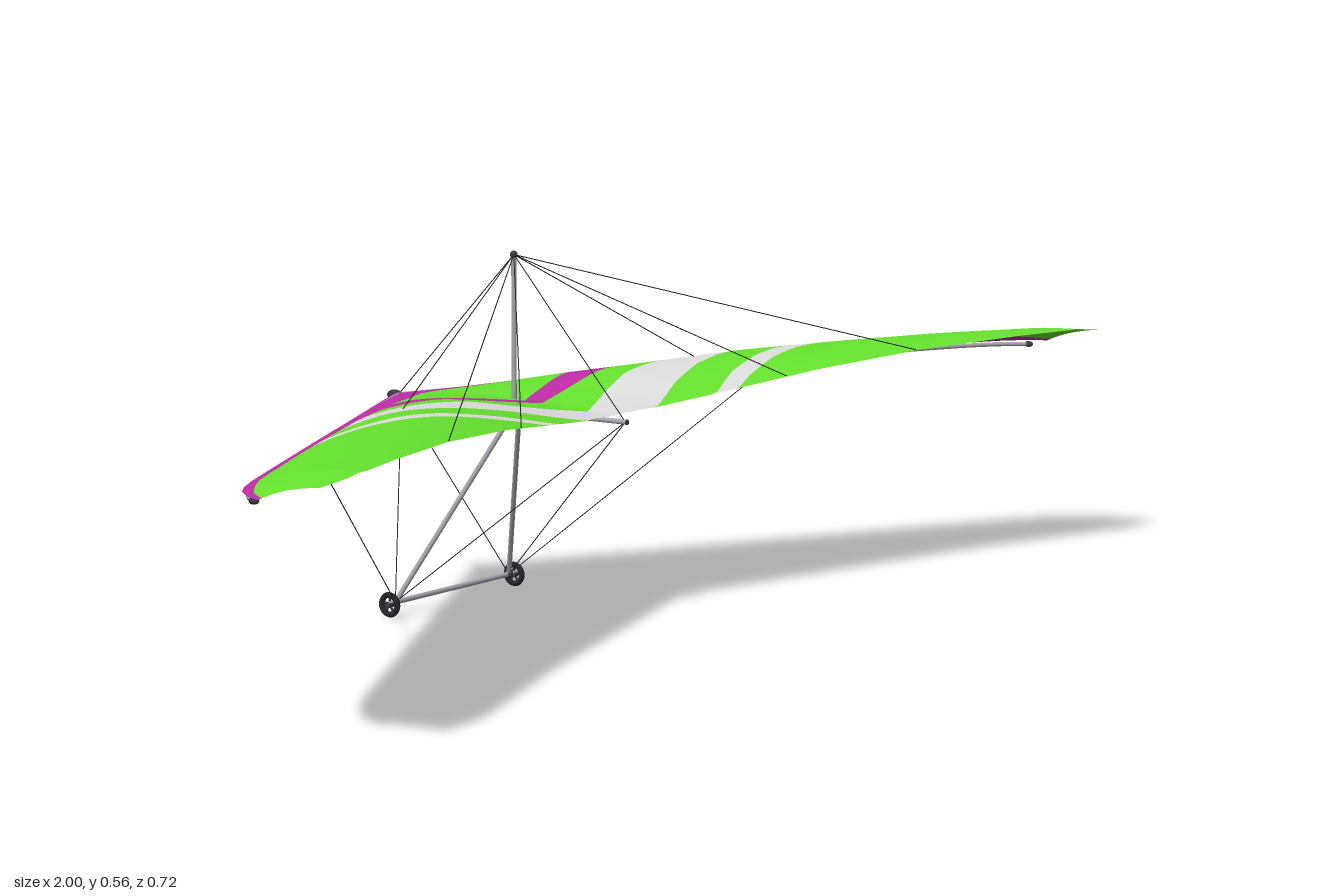
import * as THREE from 'three';

const V = (x, y, z) => new THREE.Vector3(x, y, z);

// piecewise linear curve through [x, value] pairs
const curve = (pts) => (x) => {
  if (x <= pts[0][0]) return pts[0][1];
  for (let i = 1; i < pts.length; i++) {
    const [x0, v0] = pts[i - 1], [x1, v1] = pts[i];
    if (x <= x1) return v0 + (v1 - v0) * (x - x0) / (x1 - x0);
  }
  return pts[pts.length - 1][1];
};

// sail outline, trailing edge height and camber along the half span
const lead = curve([[0, -0.347], [0.88, 0.137], [0.93, 0.168], [0.96, 0.192], [0.985, 0.222], [1, 0.255]]);
const trail = curve([[0, 0.075], [0.05, 0.083], [0.3, 0.156], [0.61, 0.247], [0.9, 0.35], [0.95, 0.359], [1, 0.358]]);
const trailY = curve([[0, 0.32], [0.1, 0.326], [0.2, 0.336], [0.4, 0.357], [0.6, 0.371], [0.8, 0.379], [0.92, 0.381], [1, 0.373]]);
const camber = curve([[0, 0.011], [0.1, 0.018], [0.2, 0.025], [0.45, 0.028], [0.75, 0.02], [0.93, 0.012], [1, 0.005]]);
const leadY = (x) => 0.319 + 0.028 * x;

function sailY(sx, z) {
  const x = Math.min(Math.abs(sx), 1);
  const t = THREE.MathUtils.clamp((z - lead(x)) / (trail(x) - lead(x)), 0, 1);
  return THREE.MathUtils.lerp(leadY(x), trailY(x), t) + camber(x) * Math.sin(Math.PI * Math.pow(t, 0.85));
}

// colour boundaries across the chord
const bandWidth = curve([[0, 0.058], [0.3, 0.058], [0.6, 0.05], [0.85, 0.038], [0.96, 0.022], [1, 0.006]]);
const stripes = [
  (x) => Math.max(-0.283, lead(x) + bandWidth(x)),
  (x) => -0.09 - 0.33 * x,
  (x) => -0.057 - 0.2 * x,
  curve([[0, 0.03], [0.1, -0.012], [0.2, -0.045], [0.3, -0.062], [0.4, -0.07]]),
  curve([[0, 0.12], [0.1, 0.09], [0.2, 0.05], [0.3, 0.02], [0.4, 0.003], [0.55, 0]]),
  curve([[0, 0.2], [0.2, 0.127], [0.3, 0.088], [0.4, 0.066], [0.5, 0.056], [0.7, 0.055]]),
  curve([[0, 0.25], [0.2, 0.155], [0.3, 0.12], [0.4, 0.097], [0.5, 0.084], [0.75, 0.078]]),
];

function sailBand(k, columns, rows) {
  const edge = (x, n) => {
    let z = lead(x);
    for (let i = 0; i < n; i++) z = Math.max(z, i < 7 ? stripes[i](x) : trail(x));
    return Math.min(z, trail(x));
  };
  const pos = [], nor = [], idx = [], e = 0.004;
  for (let i = 0; i <= columns; i++) {
    const u = i / columns * 2 - 1, sx = Math.sin(u * Math.PI / 2) * 0.5 + u * 0.5, x = Math.abs(sx);
    const z0 = edge(x, k), z1 = edge(x, k + 1);
    for (let j = 0; j <= rows; j++) {
      const z = z0 + (z1 - z0) * j / rows;
      const zn = THREE.MathUtils.clamp(z, lead(x) + 0.008, trail(x) - 0.004);
      const n = V((sailY(sx - e, zn) - sailY(sx + e, zn)) / (2 * e), 1,
        (sailY(sx, zn - e) - sailY(sx, zn + e)) / (2 * e)).normalize();
      pos.push(sx, sailY(sx, z), z);
      nor.push(n.x, n.y, n.z);
      if (i < columns && j < rows) {
        const a = i * (rows + 1) + j, b = a + rows + 1;
        idx.push(a, a + 1, b, a + 1, b + 1, b);
      }
    }
  }
  const g = new THREE.BufferGeometry();
  g.setAttribute('position', new THREE.Float32BufferAttribute(pos, 3));
  g.setAttribute('normal', new THREE.Float32BufferAttribute(nor, 3));
  g.setIndex(idx);
  return g;
}

export function createModel() {
  const model = new THREE.Group();
  model.name = 'hangGlider';
  const mat = (name, color, side = THREE.FrontSide) => {
    const m = new THREE.MeshStandardMaterial({ color, side });
    m.name = name;
    return m;
  };
  const green = mat('greenCloth', 0x66e32e, THREE.DoubleSide);
  const magenta = mat('magentaCloth', 0xc02ca8, THREE.DoubleSide);
  const white = mat('whiteCloth', 0xdedede, THREE.DoubleSide);
  const metal = mat('aluminium', 0xa6a6ae);
  const dark = mat('darkFitting', 0x3a3a42);
  const black = mat('blackCable', 0x26262a);

  const add = (name, geometry, material, parent = model) => {
    const m = new THREE.Mesh(geometry, material);
    m.name = name;
    parent.add(m);
    return m;
  };
  // straight round bar between two points
  const rod = (name, a, b, r, material, sides = 10, parent = model) => {
    const m = add(name, new THREE.CylinderGeometry(r, r, a.distanceTo(b), sides), material, parent);
    m.position.copy(a).lerp(b, 0.5);
    m.quaternion.setFromUnitVectors(V(0, 1, 0), b.clone().sub(a).normalize());
    return m;
  };
  const ball = (name, p, rx, ry, rz, material) => {
    const m = add(name, new THREE.SphereGeometry(1, 14, 10), material);
    m.position.copy(p);
    m.scale.set(rx, ry, rz);
  };

  // sail, one mesh per colour stripe
  [magenta, green, magenta, green, white, green, white, green].forEach((m, k) =>
    add('sailStripe' + (k + 1), sailBand(k, 160, 8), m));

  // keel, nose cap, king post and hang loop
  const postTop = V(0, 0.552, -0.11), nose = V(0, 0.317, -0.34), tail = V(0, 0.313, 0.1);
  rod('keel', V(0, 0.313, 0.103), V(0, 0.313, -0.345), 0.004, metal);
  ball('keelEndCap', V(0, 0.313, 0.103), 0.0042, 0.0042, 0.003, dark);
  ball('noseCap', V(0, 0.317, -0.347), 0.01, 0.008, 0.013, dark);
  rod('kingPost', V(0, 0.313, -0.11), postTop, 0.004, metal);
  ball('kingPostCap', postTop, 0.006, 0.006, 0.006, dark);
  add('keelBracket', new THREE.BoxGeometry(0.022, 0.011, 0.018), metal).position.set(0, 0.313, -0.11);
  rod('hangStrap', V(0, 0.319, -0.09), V(0, 0.302, -0.09), 0.005, dark);
  const clip = add('hangClip', new THREE.TorusGeometry(0.005, 0.0018, 6, 16), dark);
  clip.position.set(0, 0.297, -0.09);
  clip.rotation.y = Math.PI / 2;
  clip.scale.y = 1.5;

  // control bar
  rod('baseBar', V(-0.16, 0.022, -0.231), V(0.16, 0.022, -0.231), 0.004, metal);

  for (const s of [1, -1]) {
    const side = s > 0 ? 'left' : 'right';
    const joint = V(s * 0.58, 0.334, -0.018), corner = V(s * 0.142, 0.022, -0.231);

    // frame tubes under the sail
    const path = new THREE.CatmullRomCurve3([V(0, 0.318, -0.338), V(s * 0.45, 0.331, -0.09),
      V(s * 0.88, 0.341, 0.148), V(s * 0.955, 0.341, 0.198), V(s * 0.98, 0.341, 0.23)]);
    add(side + 'LeadingEdgeTube', new THREE.TubeGeometry(path, 40, 0.0036, 8), metal);
    ball(side + 'TubeCap', V(s * 0.98, 0.341, 0.23), 0.0055, 0.005, 0.008, dark);
    rod(side + 'CrossBar', V(0, 0.322, -0.085), joint, 0.0033, metal);

    // down tube and wheel
    rod(side + 'DownTube', V(s * 0.012, 0.302, -0.11), corner, 0.004, metal);
    ball(side + 'DownTubeCap', V(s * 0.012, 0.302, -0.11), 0.0046, 0.0046, 0.0046, dark);
    ball(side + 'CornerFitting', corner, 0.007, 0.007, 0.007, dark);
    const wheel = new THREE.Group();
    wheel.name = side + 'Wheel';
    wheel.position.set(s * 0.156, 0.02, -0.231);
    wheel.rotation.y = Math.PI / 2;
    model.add(wheel);
    add('tyre', new THREE.TorusGeometry(0.0152, 0.0046, 8, 28), black, wheel);
    rod('hub', V(0, 0, -0.006), V(0, 0, 0.006), 0.005, dark, 12, wheel);
    for (let i = 0; i < 5; i++) {
      const a = i / 5 * Math.PI * 2 + Math.PI / 2;
      rod('spoke', V(0, 0, 0), V(Math.cos(a) * 0.014, Math.sin(a) * 0.014, 0), 0.002, dark, 6, wheel);
    }

    // lower rigging
    for (const p of [joint, tail, V(0, 0.313, -0.333)])
      rod(side + 'LowerCable', corner, p, 0.0008, black, 5);
    // upper rigging to the cross bar and trailing edge
    rod(side + 'UpperCable', postTop, V(s * 0.42, 0.336, -0.018), 0.0008, black, 5);
    for (const x of [0.34, 0.6])
      rod(side + 'TrailingCable', postTop, V(s * x, trailY(x), trail(x) - 0.003), 0.0008, black, 5);
  }
  rod('frontUpperCable', postTop, nose, 0.0008, black, 5);
  rod('rearUpperCable', postTop, tail, 0.0008, black, 5);

  return model;
}
